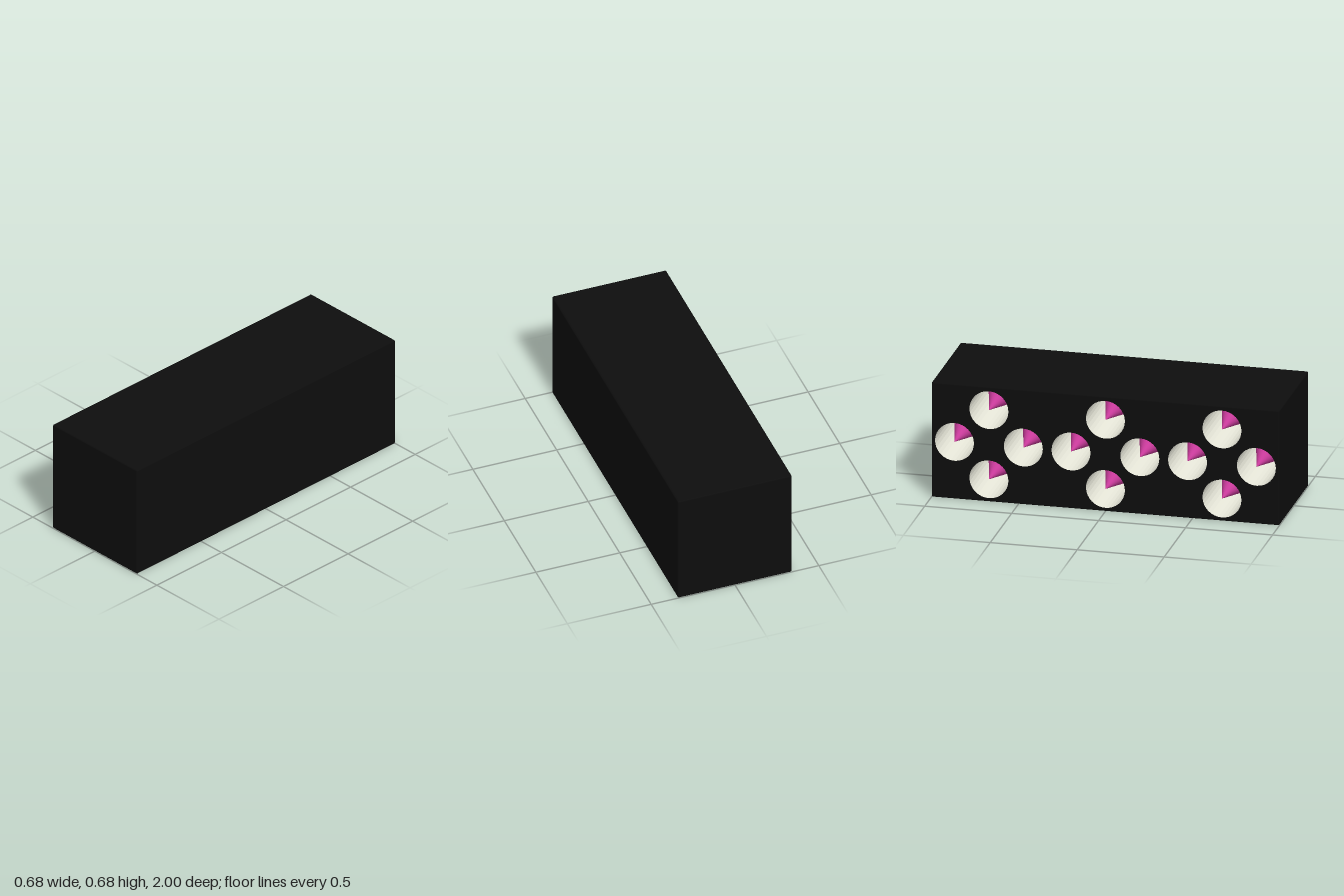
import * as THREE from 'three';
import { RoundedBoxGeometry } from 'three/addons/geometries/RoundedBoxGeometry.js';

const W = 0.68, H = 0.68, L = 2, R = 0.008;
const BORE = 0.112, DEPTH = 0.62;

// Rounded box without its flat -x side, which the drilled plate replaces
function openBox() {
  const src = new RoundedBoxGeometry(W, H, L, 3, R);
  const p = src.attributes.position, n = src.attributes.normal;
  const pos = [], nor = [];
  for (let i = 0; i < p.count; i += 3) {
    const corners = [i, i + 1, i + 2];
    if (corners.every((k) => p.getX(k) < -W / 2 + 1e-5)) continue;
    for (const k of corners) {
      pos.push(p.getX(k), p.getY(k), p.getZ(k));
      nor.push(n.getX(k), n.getY(k), n.getZ(k));
    }
  }
  const g = new THREE.BufferGeometry();
  g.setAttribute('position', new THREE.Float32BufferAttribute(pos, 3));
  g.setAttribute('normal', new THREE.Float32BufferAttribute(nor, 3));
  return g;
}

export function createModel() {
  const model = new THREE.Group();
  model.name = 'tubePod';
  const black = new THREE.MeshStandardMaterial({ color: 0x0d0d0d });
  const cream = new THREE.MeshStandardMaterial({ color: 0xe8e8da, flatShading: true, side: THREE.DoubleSide });
  const magenta = new THREE.MeshStandardMaterial({ color: 0xc83a9a });

  const add = (parent, name, geometry, material, x = 0, y = 0, z = 0) => {
    const mesh = new THREE.Mesh(geometry, material);
    mesh.name = name;
    mesh.position.set(x, y, z);
    parent.add(mesh);
    return mesh;
  };

  // Three clusters of four bores in a diamond: [z, y] on the side face
  const centres = [];
  for (const cz of [-0.67, 0, 0.67]) {
    for (const [dz, dy] of [[0, 0.205], [0, -0.205], [0.198, 0], [-0.198, 0]]) {
      centres.push([cz + dz, H / 2 - 0.003 + dy]);
    }
  }

  // Casing
  add(model, 'casing', openBox(), black, 0, H / 2, 0);

  // Drilled side plate
  const a = L / 2 - R;
  const plate = new THREE.Shape([
    new THREE.Vector2(-a, R), new THREE.Vector2(a, R),
    new THREE.Vector2(a, H - R), new THREE.Vector2(-a, H - R),
  ]);
  for (const [z, y] of centres) {
    plate.holes.push(new THREE.Path().absarc(z, y, BORE, 0, Math.PI * 2, true));
  }
  add(model, 'drilledPlate', new THREE.ShapeGeometry(plate, 16).rotateY(-Math.PI / 2), black, -W / 2);

  // Tube lining, its floor, and the pointed round inside, all along x from the plate
  const tubeGeo = new THREE.CylinderGeometry(BORE, BORE, DEPTH, 32, 1, true)
    .rotateZ(Math.PI / 2).translate(DEPTH / 2, 0, 0);
  const floorGeo = new THREE.CircleGeometry(BORE, 32).rotateY(-Math.PI / 2).translate(DEPTH, 0, 0);
  const tip = 0.32, radius = 0.08;
  const noseGeo = new THREE.ConeGeometry(radius, tip, 32, 1, true)
    .rotateZ(Math.PI / 2).translate(tip / 2, 0, 0);
  const bodyGeo = new THREE.CylinderGeometry(radius, radius, DEPTH - tip, 32, 1, true)
    .rotateZ(Math.PI / 2).translate((DEPTH + tip) / 2, 0, 0);

  for (const [z, y] of centres) {
    const tube = new THREE.Group();
    tube.name = 'launchTube';
    tube.position.set(-W / 2, y, z);
    add(tube, 'tubeLining', tubeGeo, cream);
    add(tube, 'tubeFloor', floorGeo, cream);
    add(tube, 'noseCone', noseGeo, magenta);
    add(tube, 'roundBody', bodyGeo, magenta);
    model.add(tube);
  }
  return model;
}
